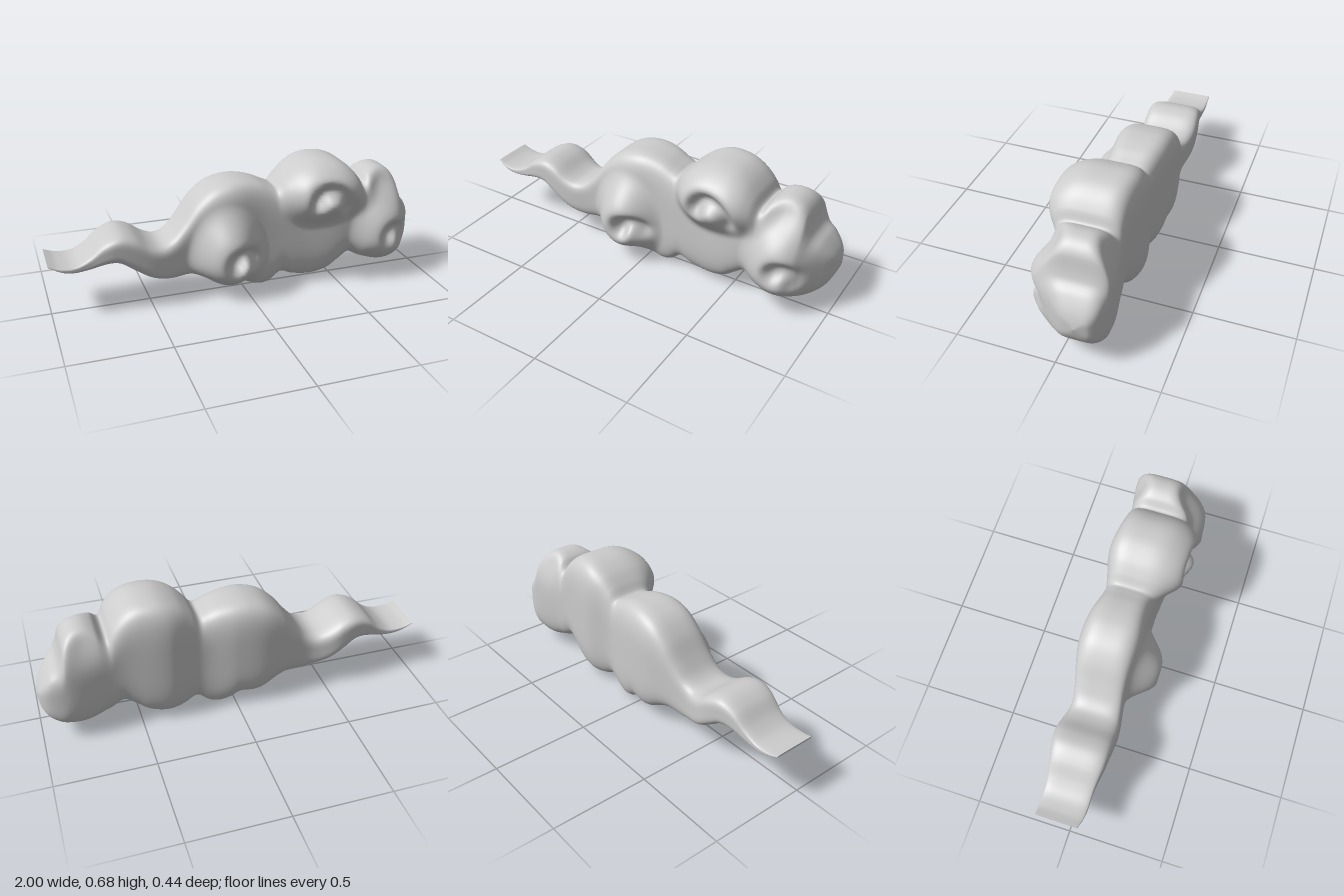
import * as THREE from 'three';

// smooth interpolation through [x, value] pairs
function profile(p) {
  const slope = (i) => {
    const a = p[Math.max(i - 1, 0)], b = p[Math.min(i + 1, p.length - 1)];
    return (b[1] - a[1]) / (b[0] - a[0]);
  };
  return (x) => {
    let i = 0;
    while (i < p.length - 2 && x > p[i + 1][0]) i++;
    const w = p[i + 1][0] - p[i][0], t = (x - p[i][0]) / w, t2 = t * t, t3 = t2 * t;
    return (2 * t3 - 3 * t2 + 1) * p[i][1] + (t3 - 2 * t2 + t) * w * slope(i)
      + (3 * t2 - 2 * t3) * p[i + 1][1] + (t3 - t2) * w * slope(i + 1);
  };
}

// cloud outline: upper edge, lower edge, front and back depth along x
const top = profile([[-1, 0.29], [-0.95, 0.275], [-0.87, 0.275], [-0.8, 0.31], [-0.73, 0.37], [-0.65, 0.4],
  [-0.58, 0.385], [-0.5, 0.335], [-0.44, 0.32], [-0.38, 0.345], [-0.32, 0.41], [-0.25, 0.5], [-0.17, 0.565],
  [-0.08, 0.595], [0, 0.597], [0.08, 0.58], [0.15, 0.55], [0.18, 0.542], [0.22, 0.585], [0.28, 0.635],
  [0.36, 0.67], [0.43, 0.677], [0.5, 0.665], [0.56, 0.63], [0.61, 0.575], [0.64, 0.525], [0.69, 0.57],
  [0.75, 0.59], [0.81, 0.575], [0.85, 0.53], [0.865, 0.47], [0.885, 0.42], [0.93, 0.378], [0.97, 0.325],
  [0.99, 0.285], [1, 0.25]]);
const bottom = profile([[-1, 0.28], [-0.93, 0.245], [-0.87, 0.235], [-0.8, 0.24], [-0.7, 0.258], [-0.65, 0.25],
  [-0.6, 0.215], [-0.5, 0.15], [-0.4, 0.122], [-0.28, 0.12], [-0.22, 0.1], [-0.15, 0.06], [-0.1, 0.047],
  [-0.02, 0.05], [0.03, 0.02], [0.09, 0.002], [0.14, 0.015], [0.2, 0.06], [0.27, 0.035], [0.37, 0.022],
  [0.46, 0.045], [0.52, 0.09], [0.58, 0.13], [0.65, 0.1], [0.77, 0.065], [0.88, 0.085], [0.95, 0.13],
  [0.985, 0.19], [1, 0.25]]);
const front = profile([[-1, 0.06], [-0.93, 0.075], [-0.8, 0.08], [-0.68, 0.1], [-0.5, 0.105], [-0.3, 0.08],
  [-0.1, 0.1], [0.1, 0.09], [0.3, 0.1], [0.5, 0.12], [0.65, 0.12], [0.8, 0.11], [0.88, 0.08], [0.94, 0.03],
  [0.98, -0.03], [1, -0.1]]);
const back = profile([[-1, -0.16], [-0.8, -0.165], [-0.57, -0.2], [-0.4, -0.175], [-0.15, -0.22], [0, -0.215],
  [0.18, -0.185], [0.35, -0.22], [0.6, -0.195], [0.83, -0.225], [0.93, -0.205], [0.985, -0.16], [1, -0.1]]);

// swollen curls on the front: a lobe (rx = left, right; ry = down, up) with a groove
// that unwinds clockwise from r0 to r1 (angles in degrees)
const curls = [
  { x: -0.1, y: 0.21, rx: [0.2, 0.2], ry: [0.23, 0.27], h: 0.115,
    gx: -0.05, gy: 0.2, r0: 0.03, r1: 0.08, from: 190, to: 0, depth: 0.075 },
  { x: 0.36, y: 0.53, rx: [0.19, 0.36], ry: [0.2, 0.2], h: 0.105,
    gx: 0.41, gy: 0.46, r0: 0.06, r1: 0.11, from: 180, to: -20, depth: 0.08 },
  { x: 0.77, y: 0.24, rx: [0.2, 0.19], ry: [0.2, 0.27], h: 0.085,
    gx: 0.8, gy: 0.24, r0: 0.035, r1: 0.065, from: 180, to: -45, depth: 0.055 },
];
const STEPS = 24;

function relief(x, y) {
  let z = 0;
  for (const c of curls) {
    const dx = x - c.x, dy = y - c.y;
    const r = Math.hypot(dx / c.rx[dx > 0 ? 1 : 0], dy / c.ry[dy > 0 ? 1 : 0]);
    z += c.h * (1 - THREE.MathUtils.smoothstep(r, 0.3, 1.1));
    let groove = 0;
    for (let k = 0; k <= STEPS; k++) {
      const a = THREE.MathUtils.degToRad(THREE.MathUtils.lerp(c.from, c.to, k / STEPS));
      const gr = THREE.MathUtils.lerp(c.r0, c.r1, k / STEPS);
      const d = Math.hypot(x - c.gx - gr * Math.cos(a), y - c.gy - gr * Math.sin(a));
      groove += Math.exp(-((d / 0.036) ** 2));
    }
    z -= c.depth * Math.tanh(groove / 7);
  }
  return z;
}

// the small upper puff is thinner than the rest
const thinning = (x, y) => 0.05 * Math.exp(-(((x - 0.77) / 0.1) ** 2) - ((y - 0.57) / 0.12) ** 2);

// rounded-square cross-sections lofted along x
function cloudGeometry(columns = 230, sides = 160) {
  const pos = [], index = [];
  for (let i = 0; i <= columns; i++) {
    const x = 1 - 2 * (1 - i / columns) ** 1.3;
    const yMid = (top(x) + bottom(x)) / 2, yHalf = (top(x) - bottom(x)) / 2;
    const zMid = (front(x) + back(x)) / 2;
    for (let j = 0; j < sides; j++) {
      const a = (j / sides) * Math.PI * 2, c = Math.cos(a), s = Math.sin(a);
      const power = 4.2;
      const r = (Math.abs(c) ** power + Math.abs(s) ** power) ** (-1 / power);
      const y = yMid + yHalf * r * s;
      const fade = Math.min(1, (1 - x) * 7);
      const depth = (c > 0 ? front(x) + relief(x, y) * fade - zMid : zMid - back(x)) - thinning(x, y) * fade;
      pos.push(x, y, zMid + depth * r * c);
      if (i < columns) {
        const p = i * sides + j, q = i * sides + ((j + 1) % sides);
        index.push(p, p + sides, q, q, p + sides, q + sides);
      }
    }
  }
  // flat end of the tail
  const start = pos.length / 3;
  pos.push(...pos.slice(0, sides * 3), -1, (top(-1) + bottom(-1)) / 2, (front(-1) + back(-1)) / 2);
  for (let j = 0; j < sides; j++) index.push(start + sides, start + j, start + ((j + 1) % sides));

  const g = new THREE.BufferGeometry();
  g.setAttribute('position', new THREE.Float32BufferAttribute(pos, 3));
  g.setIndex(index);
  g.computeVertexNormals();
  return g;
}

export function createModel() {
  const group = new THREE.Group();
  group.name = 'curledCloud';
  const cloud = new THREE.Mesh(cloudGeometry(), new THREE.MeshStandardMaterial({ color: 0xcccccc }));
  cloud.name = 'cloudBody';
  group.add(cloud);
  return group;
}
